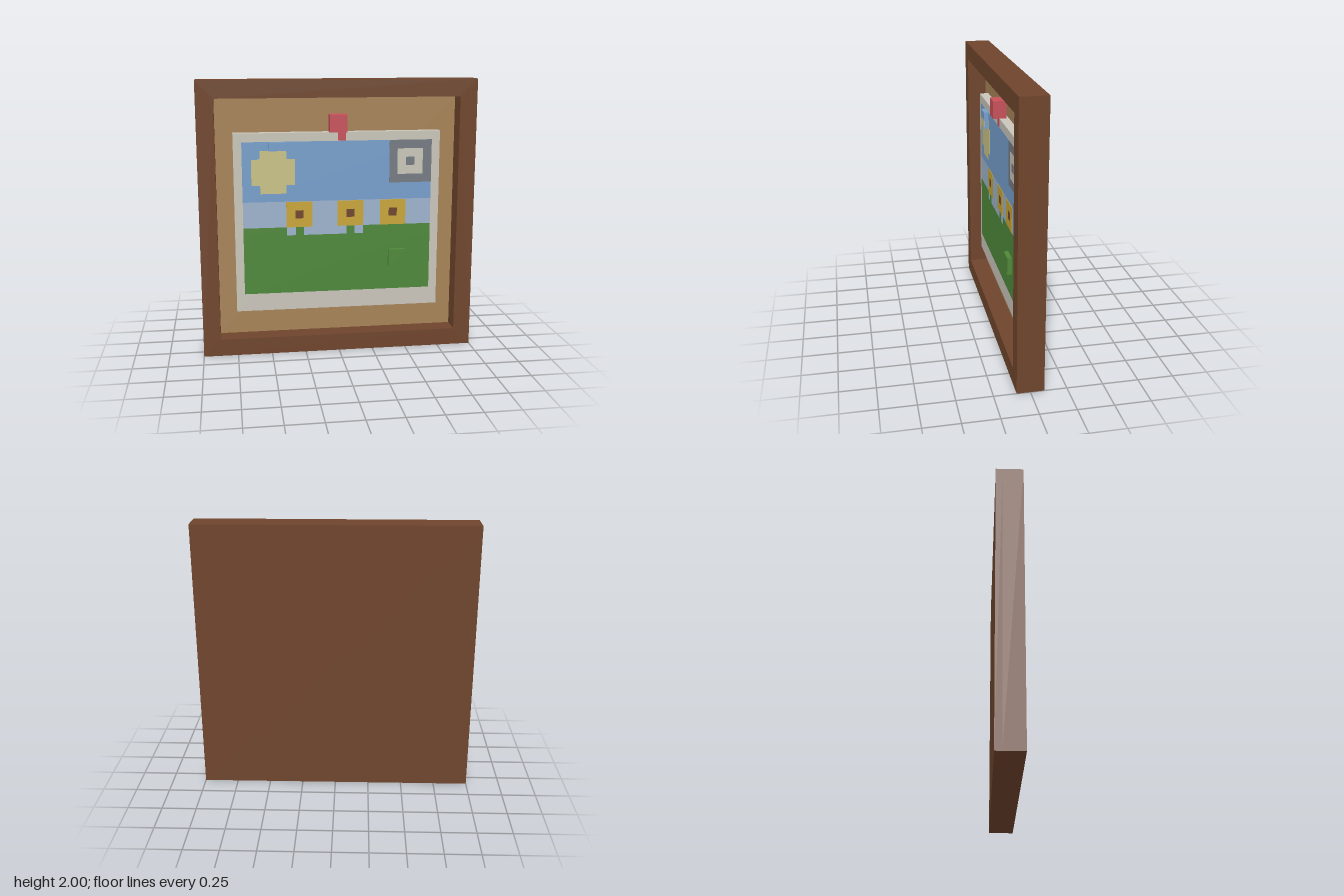
import * as THREE from 'three';

const mat = (name, color) => {
  const m = new THREE.MeshStandardMaterial({ color });
  m.name = name;
  return m;
};

export function createModel() {
  const group = new THREE.Group();
  const wood = mat('darkWood', 0x6f452c);
  const cork = mat('cork', 0xa68357);
  const paper = mat('paper', 0xc9c5ba);
  const sky = mat('skyBlue', 0x779fcb);
  const haze = mat('paleBlue', 0x9db3cc);
  const grass = mat('grassGreen', 0x4f883a);
  const petal = mat('petalYellow', 0xc8a639);
  const cream = mat('paleYellow', 0xc9c086);
  const grey = mat('grey', 0x757b82);
  const red = mat('pinRed', 0xc75059);

  // Box given by its limits on each axis
  const box = (name, m, x0, x1, y0, y1, z0, z1) => {
    const mesh = new THREE.Mesh(new THREE.BoxGeometry(x1 - x0, y1 - y0, z1 - z0), m);
    mesh.position.set((x0 + x1) / 2, (y0 + y1) / 2, (z0 + z1) / 2);
    mesh.name = name;
    group.add(mesh);
  };

  // Frame with square opening, closed at the back
  const F = 0.094, B = -0.047;
  const outline = new THREE.Shape([[-1, 0], [1, 0], [1, 2], [-1, 2]].map(p => new THREE.Vector2(...p)));
  const k = 0.875;
  outline.holes.push(new THREE.Path([[-k, 0.125], [-k, 1.875], [k, 1.875], [k, 0.125]].map(p => new THREE.Vector2(...p))));
  const frame = new THREE.Mesh(new THREE.ExtrudeGeometry(outline, { depth: F - B, bevelEnabled: false }), wood);
  frame.position.z = B;
  frame.name = 'frame';
  group.add(frame);
  box('backPanel', wood, -1, 1, 0, 2, -F, B);
  box('corkBoard', cork, -k, k, 0.125, 1.875, B - 0.003, B + 0.002);

  // Sheet of paper and pin
  const P = 0.022;
  box('paperSheet', paper, -0.75, 0.75, 0.3125, 1.625, B, P);
  box('pinHead', red, -0.0625, 0.0625, 1.627, 1.752, -0.025, 0.069);

  // Painted picture: thin plates stacked by layer
  const paint = (name, m, layer, x0, x1, y0, y1) =>
    box(name, m, x0, x1, y0, y1, P - 0.001, P + 0.0015 * layer);
  paint('pinStem', red, 2, 0, 0.058, 1.565, 1.625);
  paint('sky', sky, 1, -0.69, 0.69, 1.128, 1.5625);
  paint('horizon', haze, 1, -0.69, 0.69, 0.877, 1.128);
  paint('meadow', grass, 1, -0.69, 0.69, 0.4425, 0.877);
  for (const [x0, x1] of [[-0.69, -0.375], [-0.31, -0.25], [0.0625, 0.122], [0.1875, 0.69]])
    paint('meadowTop', grass, 2, x0, x1, 0.87, 0.9375);

  // Sun blob
  paint('sunTall', cream, 2, -0.5625, -0.375, 1.1875, 1.5);
  paint('sunWide', cream, 3, -0.625, -0.3125, 1.25, 1.4375);

  // Grey square with ring and centre
  paint('greySquare', grey, 2, 0.378, 0.69, 1.25, 1.5625);
  paint('paperSquare', paper, 3, 0.4375, 0.625, 1.3125, 1.5);
  paint('greyCentre', grey, 4, 0.5, 0.5625, 1.378, 1.4375);

  // Flowers
  for (const x of [-0.283, 0.092, 0.407]) {
    paint('flower', petal, 3, x - 0.095, x + 0.095, 0.9375, 1.125);
    paint('flowerCentre', wood, 4, x - 0.03, x + 0.03, 1.003, 1.062);
  }

  // Raised blocks on the picture
  const R = 0.056;
  box('skyBlock', sky, -0.5, -0.375, 1.4375, 1.5625, P, R);
  box('skyBlockFace', cream, -0.5, -0.375, 1.4375, 1.5, R - 0.002, R + 0.001);
  box('grassBlock', grass, 0.375, 0.5, 0.628, 0.752, P, R);

  return group;
}
